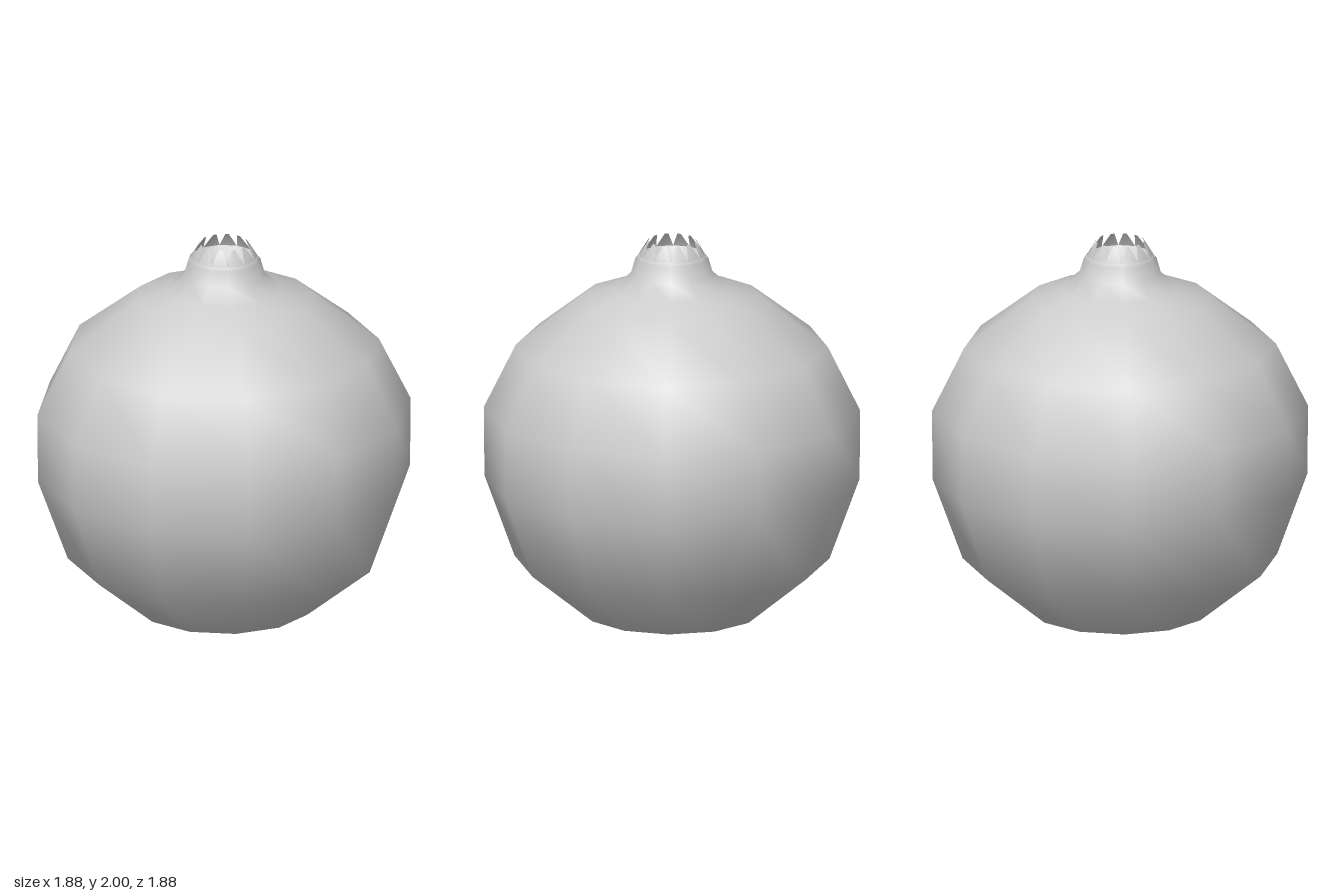
import * as THREE from 'three';

const SIDES = 12;
const lathe = (points) =>
  new THREE.LatheGeometry(points.map(([r, y]) => new THREE.Vector2(r, y)), SIDES);

// Ring of pointed, inward-leaning teeth with V notches between them
function crownGeometry() {
  const position = [], normal = [], index = [];
  const step = (Math.PI * 2) / SIDES;
  const add = (angle, r, y, slope) => {
    const s = Math.sin(angle), c = Math.cos(angle);
    position.push(s * r, y, c * r);
    const n = new THREE.Vector3(s, slope, c).normalize();
    normal.push(n.x, n.y, n.z);
  };
  for (let i = 0; i < SIDES; i++) {
    const a = i * step, b = i * 4;
    add(a, 0.168, 1.925, 0.45);
    add(a + step, 0.168, 1.925, 0.45);
    add(a + step * 0.65, 0.12, 2, 0.7);
    add(a + step * 0.35, 0.12, 2, 0.7);
    index.push(b, b + 1, b + 2, b, b + 2, b + 3);
  }
  const g = new THREE.BufferGeometry();
  g.setAttribute('position', new THREE.Float32BufferAttribute(position, 3));
  g.setAttribute('normal', new THREE.Float32BufferAttribute(normal, 3));
  g.setIndex(index);
  return g;
}

export function createModel() {
  const group = new THREE.Group();
  const material = new THREE.MeshStandardMaterial({ color: 0xcccccc, side: THREE.DoubleSide });
  const add = (name, geometry) => {
    const mesh = new THREE.Mesh(geometry, material);
    mesh.name = name;
    group.add(mesh);
  };

  // Round fruit body flowing into the short neck
  add('body', lathe([
    [0, 0], [0.45, 0.08], [0.787, 0.355], [0.937, 0.77], [0.94, 1.125],
    [0.78, 1.45], [0.45, 1.705], [0.29, 1.755], [0.205, 1.83],
    [0.182, 1.91], [0.168, 1.925],
  ]));

  // Toothed rim
  add('crown', crownGeometry());

  // Hollow inside the neck with a small central bump
  add('crownHollow', lathe([
    [0.168, 1.925], [0.14, 1.88], [0.085, 1.85], [0.05, 1.86], [0.02, 1.885], [0, 1.89],
  ]));

  return group;
}
